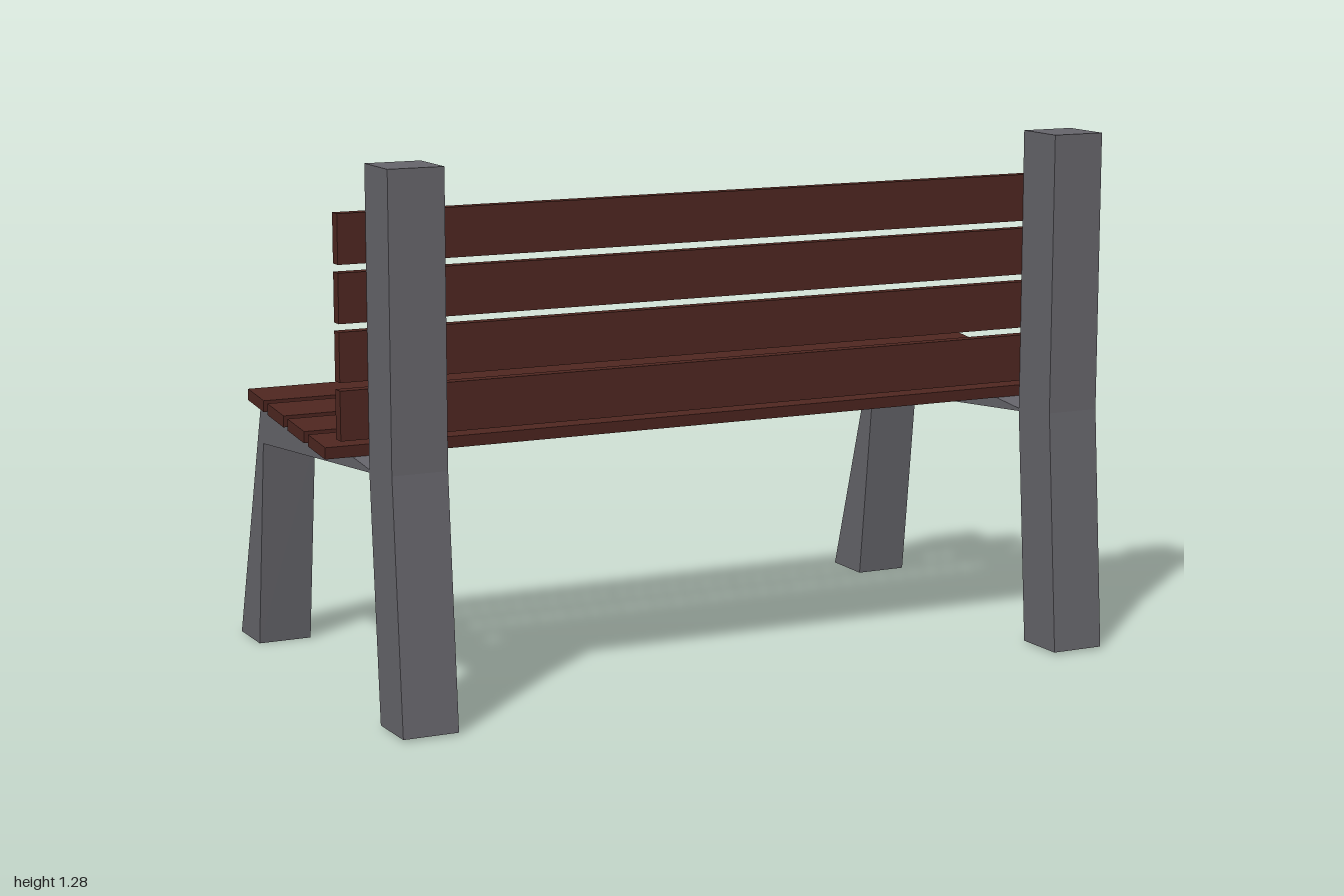
import * as THREE from 'three';

const metal = new THREE.MeshStandardMaterial({ color: 0x66656b, flatShading: true });
const wood = new THREE.MeshStandardMaterial({ color: 0x4e2620, flatShading: true });

const FRAME_X = 0.865, FRAME_WIDTH = 0.135;

// Side frame outline as [z, y]: back post, seat arm and front leg in one piece
const OUTLINE = [
  [0.557, 0.005], [0.418, 0.003], [0.372, 0.583], [-0.356, 0.522], [-0.418, 0],
  [-0.556, 0], [-0.356, 0.66], [0.372, 0.59], [0.372, 1.285], [0.511, 1.285], [0.511, 0.6],
];

function sideFrame(name, x) {
  const shape = new THREE.Shape(OUTLINE.map(([z, y]) => new THREE.Vector2(z, y)));
  const geometry = new THREE.ExtrudeGeometry(shape, { depth: FRAME_WIDTH, bevelEnabled: false });
  geometry.translate(0, 0, -FRAME_WIDTH / 2).rotateY(-Math.PI / 2);
  const mesh = new THREE.Mesh(geometry, metal);
  mesh.name = name;
  mesh.position.x = x;
  return mesh;
}

function slat(name, height, depth, y, z, tilt = 0) {
  const mesh = new THREE.Mesh(new THREE.BoxGeometry(2, height, depth), wood);
  mesh.name = name;
  mesh.position.set(0, y, z);
  mesh.rotation.x = tilt;
  return mesh;
}

export function createModel() {
  const bench = new THREE.Group();
  bench.name = 'bench';
  bench.add(sideFrame('leftFrame', FRAME_X), sideFrame('rightFrame', -FRAME_X));

  const slope = 0.096;
  for (let i = 0; i < 4; i++) {
    // Upright backrest slats on the inner face of the posts
    bench.add(slat(`backSlat${i + 1}`, 0.115, 0.03, 0.718 + i * 0.1335, 0.358));
    // Seat slats lying on the sloping arms
    const z = 0.212 - i * 0.14;
    bench.add(slat(`seatSlat${i + 1}`, 0.028, 0.114, 0.64 - slope * z, z, Math.atan(slope)));
  }
  return bench;
}
